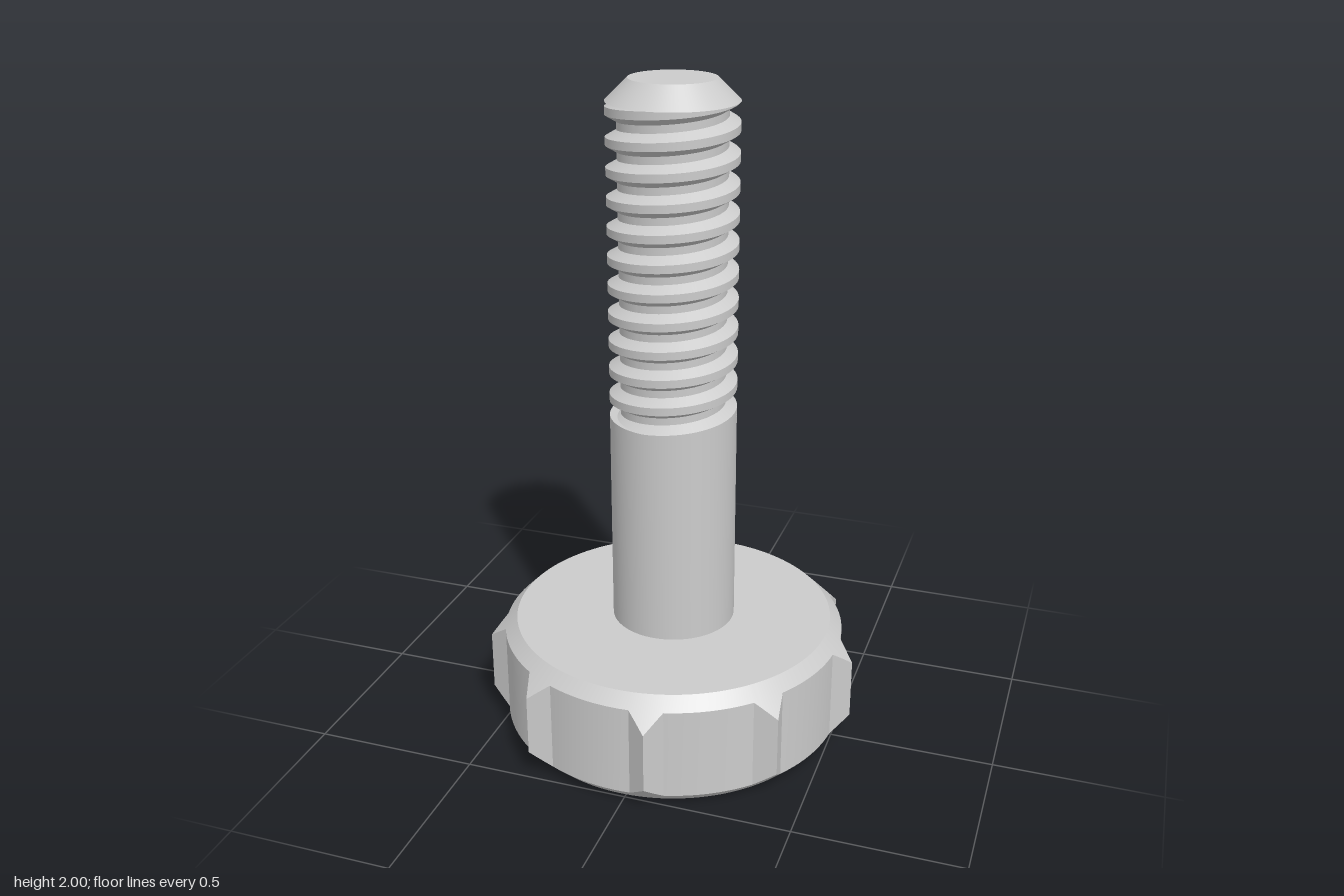
import * as THREE from 'three';
import { toCreasedNormals } from 'three/addons/utils/BufferGeometryUtils.js';

const AXIS_X = -0.017;
const SHANK_R = 0.188, ROOT_R = 0.156;
const HEAD_H = 0.355, THREAD_Y0 = 1.018, THREAD_Y1 = 1.938, PITCH = 0.0836;
const TAU = Math.PI * 2;

const material = new THREE.MeshStandardMaterial({ color: 0xcccccc });

// Skin a surface from vertical profiles; columns run counterclockwise seen from above
function skin(columns) {
  const rows = columns[0].length;
  const positions = columns.flat().flatMap((p) => p.toArray());
  const index = [];
  for (let i = 0; i < columns.length - 1; i++) {
    for (let j = 0; j < rows - 1; j++) {
      const a = i * rows + j, b = a + rows;
      index.push(a, b, b + 1, a, b + 1, a + 1);
    }
  }
  const geometry = new THREE.BufferGeometry();
  geometry.setAttribute('position', new THREE.Float32BufferAttribute(positions, 3));
  geometry.setIndex(index);
  return toCreasedNormals(geometry, 0.45);
}

const polar = (r, a, y) => new THREE.Vector3(r * Math.sin(a), y, r * Math.cos(a));

// Grip outline: round arcs between nine pointed ridges, cut by 45 degree chamfers
function headGeometry() {
  const count = 9, bodyR = 0.525, tipR = 0.573, faceR = 0.488, half = 0.0953;
  const outline = [];
  for (let k = 0; k < count; k++) {
    const tipA = Math.PI / 2 + (k * TAU) / count;
    const start = polar(bodyR, tipA - half, 0);
    const tip = polar(tipR, tipA, 0);
    const end = polar(bodyR, tipA + half, 0);
    for (let i = 0; i < 4; i++) outline.push(start.clone().lerp(tip, i / 4));
    for (let i = 0; i < 4; i++) outline.push(tip.clone().lerp(end, i / 4));
    const arc = TAU / count - 2 * half;
    for (let i = 0; i < 10; i++) outline.push(polar(bodyR, tipA + half + (arc * i) / 10, 0));
  }
  outline.push(outline[0]);
  return skin(outline.map((p) => {
    const r = Math.hypot(p.x, p.z), a = Math.atan2(p.x, p.z), drop = r - faceR;
    return [
      polar(0, a, 0), polar(faceR, a, 0), polar(r, a, drop),
      polar(r, a, HEAD_H - drop), polar(faceR, a, HEAD_H), polar(0, a, HEAD_H),
    ];
  }));
}

// Right-hand trapezoidal thread, trimmed flat at both ends
function threadGeometry() {
  const segments = 96;
  // [height above crest edge, radius] over one pitch
  const profile = [[0, SHANK_R], [0.019, ROOT_R], [0.041, ROOT_R], [0.06, SHANK_R], [PITCH, SHANK_R]];
  const radiusAt = (h) => {
    const t = ((h % PITCH) + PITCH) % PITCH;
    const i = Math.max(1, profile.findIndex((p) => p[0] >= t));
    const [h0, r0] = profile[i - 1], [h1, r1] = profile[i];
    return THREE.MathUtils.mapLinear(t, h0, h1, r0, r1);
  };
  const columns = [];
  for (let i = 0; i <= segments; i++) {
    const a = (i / segments) * TAU;
    const rise = 1.02 + (PITCH * i) / segments;
    const column = [];
    for (let k = -3; k < 13; k++) {
      for (const [h] of profile.slice(0, 4)) {
        const y = THREE.MathUtils.clamp(rise + k * PITCH + h, THREAD_Y0, THREAD_Y1);
        column.push(polar(radiusAt(y - rise), a, y));
      }
    }
    columns.push(column);
  }
  return skin(columns);
}

// Closed round section between two heights
function roundSection(topR, bottomR, y0, y1) {
  const geometry = new THREE.CylinderGeometry(topR, bottomR, y1 - y0, 96);
  return geometry.translate(0, (y0 + y1) / 2, 0);
}

export function createModel() {
  const model = new THREE.Group();
  model.name = 'thumbScrew';
  const parts = {
    knurledHead: headGeometry(),
    shank: roundSection(SHANK_R, SHANK_R, HEAD_H, THREAD_Y0),
    thread: threadGeometry(),
    chamferedTip: roundSection(0.125, SHANK_R, THREAD_Y1, 2),
  };
  for (const [name, geometry] of Object.entries(parts)) {
    const mesh = new THREE.Mesh(geometry, material);
    mesh.name = name;
    mesh.position.x = AXIS_X;
    model.add(mesh);
  }
  return model;
}
